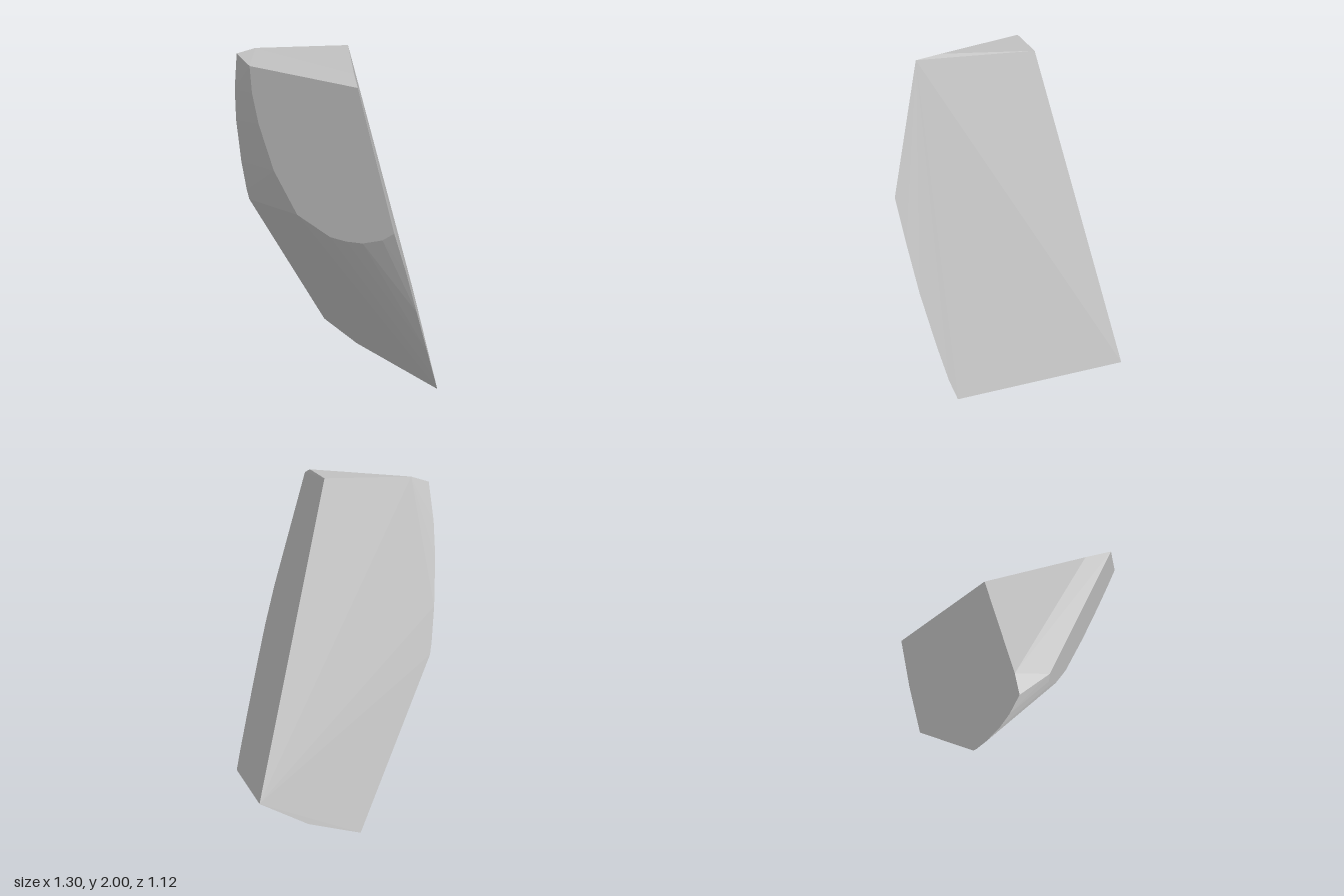
import * as THREE from 'three';
import { ConvexGeometry } from 'three/addons/geometries/ConvexGeometry.js';

export function createModel() {
  const group = new THREE.Group();
  group.name = 'rock';
  const stone = new THREE.MeshStandardMaterial({ color: 0xc0c0c0 });
  stone.name = 'stoneGrey';

  const points = [];
  const add = (x, y, z) => points.push(new THREE.Vector3(x, y, z));

  // Flat cleaved faces: z of the back right and back left planes at (x, y)
  const rightZ = (x, y) => 0.06 + (0.9036 * (x + 0.07) + 0.299 * (y - 2)) / 0.795;
  const leftZ = (x, y) => 0.06 + (-0.62 * (x + 0.07) + 0.215 * (y - 2)) / 0.655;

  // Top triangle and the ridge running down the back
  add(-0.07, 2, 0.06);
  add(-0.44, 2, 0.41);
  add(0.28, 2, 0.46);
  add(-0.03, 0.23, -0.56);

  // Outline of the flat front face
  for (const [x, y] of [
    [0.38, 1.97], [0.615, 1.23], [0.54, 1.17], [0.41, 1.115], [0.3, 1.095], [0.19, 1.09],
    [-0.04, 1.16], [-0.2, 1.38], [-0.3, 1.63], [-0.34, 1.8], [-0.35, 1.95],
  ]) add(x, y, 0.56);

  // Curved rim of the back right face
  for (const [x, y] of [[0.634, 0.98], [0.646, 0.7], [0.648, 0.4], [0.645, 0.2], [0.635, 0.09]]) {
    add(x, y, rightZ(x, y));
  }

  // Curved rim of the back left face
  for (const [x, y] of [
    [-0.52, 1.97], [-0.57, 1.75], [-0.603, 1.55], [-0.635, 1.27],
    [-0.65, 1.07], [-0.652, 1.0], [-0.48, 0.03], [-0.25, 0.1],
  ]) add(x, y, leftZ(x, y));

  // Lowest corner
  add(-0.15, 0, -0.115);

  const body = new THREE.Mesh(new ConvexGeometry(points), stone);
  body.name = 'rockBody';
  group.add(body);
  return group;
}
